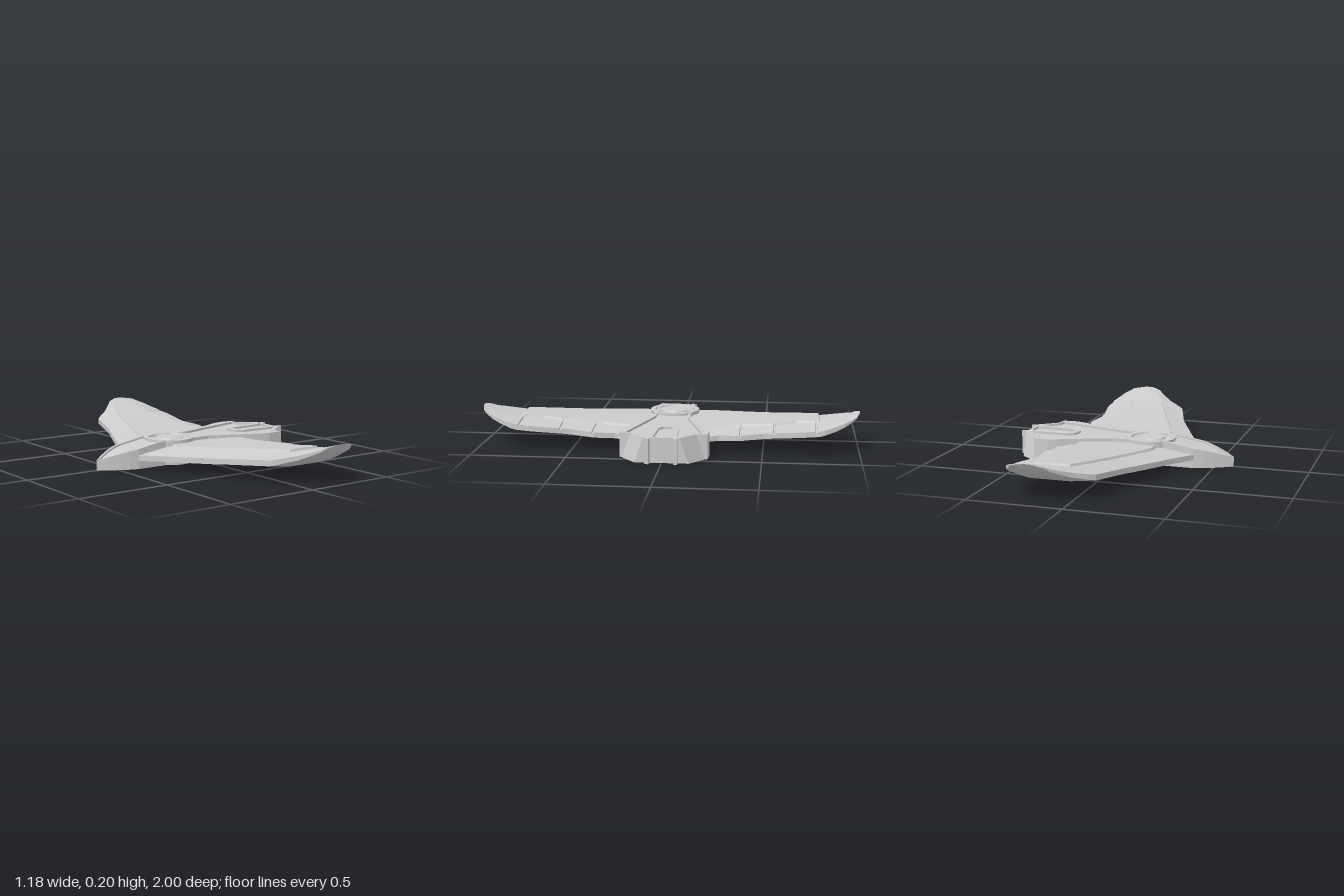
import * as THREE from 'three';

const material = new THREE.MeshStandardMaterial({ color: 0xcccccc, flatShading: true, side: THREE.DoubleSide });

function part(name, geometry) {
  const mesh = new THREE.Mesh(geometry, material);
  mesh.name = name;
  return mesh;
}

// Skin through a row of closed rings, one flat quad per ring edge
function loft(rings, flip) {
  const pos = [];
  for (let s = 0; s < rings.length - 1; s++) {
    const a = rings[s], b = rings[s + 1], n = a.length;
    for (let i = 0; i < n; i++) {
      const j = (i + 1) % n;
      const q = flip ? [a[i], a[j], b[j], b[i]] : [a[i], b[i], b[j], a[j]];
      for (const k of [0, 1, 2, 0, 2, 3]) pos.push(...q[k]);
    }
  }
  const g = new THREE.BufferGeometry();
  g.setAttribute('position', new THREE.Float32BufferAttribute(pos, 3));
  g.computeVertexNormals();
  return g;
}

// Linear lookup in a list of [key, value] pairs
function lookup(table, k) {
  if (k <= table[0][0]) return table[0][1];
  for (let i = 1; i < table.length; i++) {
    const [k0, v0] = table[i - 1], [k1, v1] = table[i];
    if (k <= k1) return v0 + (v1 - v0) * (k - k0) / (k1 - k0);
  }
  return table[table.length - 1][1];
}

// Half outline (x, z) mirrored across the centre line
function mirrored(half) {
  const other = half.filter(p => p[1] > 0).reverse().map(([x, z]) => [x, -z]);
  return [...half, ...other].map(([x, z]) => new THREE.Vector2(x, z));
}

// Flat plate standing between two heights; the tail flanks lean outward towards the bottom
function plate(shape, y0, y1) {
  const g = new THREE.ExtrudeGeometry(shape, { depth: y1 - y0, bevelEnabled: false });
  g.rotateX(Math.PI / 2).translate(0, y1, 0);
  const p = g.attributes.position;
  for (let i = 0; i < p.count; i++) {
    const z = p.getZ(i);
    if (p.getX(i) > 0.462 && Math.abs(z) > 0.086) p.setZ(i, z + Math.sign(z) * (0.13 - p.getY(i)) * 0.35);
  }
  g.computeVertexNormals();
  return g;
}

// Wing rules by span position z
const leading = [[0.05, -0.42], [0.1, -0.4], [0.23, -0.32], [0.56, -0.17], [0.8, -0.095], [0.88, 0], [0.98, 0.1], [1, 0.15]];
const trailing = [[0.22, 0.335], [0.27, 0.32], [0.38, 0.345], [0.5, 0.32], [0.56, 0.325], [0.7, 0.35], [0.82, 0.35],
  [0.92, 0.315], [0.98, 0.27], [1, 0.2]];
const panelFront = [[0.2, -0.2], [0.79, 0.03], [0.9, 0.08], [1, 0.165]];
const panelBack = [[0.18, 0.22], [0.35, 0.2], [0.55, 0.22], [0.67, 0.19], [0.77, 0.215], [0.9, 0.22], [1, 0.185]];
const underside = [[0.1, 0.028], [0.23, 0.033], [0.5, 0.05], [0.8, 0.077], [0.9, 0.118], [0.96, 0.16], [1, 0.2]];
const thickness = [[0.8, 1], [0.9, 0.75], [0.96, 0.4], [1, 0.04]];
const seams = [0.385, 0.56, 0.775];

function wing(side) {
  const stations = [0.05, 0.1, 0.2, 0.23, 0.27, 0.35, 0.45, 0.5, 0.62, 0.67, 0.72, 0.789, 0.794, 0.82, 0.85, 0.88, 0.92, 0.96, 0.98, 1];
  for (const s of seams) stations.push(s - 0.007, s - 0.004, s + 0.004, s + 0.007);
  stations.sort((a, b) => a - b);
  const rings = stations.map(z => {
    const le = lookup(leading, z), te = lookup(trailing, z);
    const pf = lookup(panelFront, z), pb = lookup(panelBack, z);
    const b = lookup(underside, z), t = lookup(thickness, z);
    const lift = z < 0.79 ? 0.012 : 0;
    const groove = seams.some(s => Math.abs(s - z) < 0.005) ? 0.008 : 0;
    const section = [
      [le, 0.016], [le, 0.045],
      [pf, 0.073], [pf + 0.006 * t, 0.073 + lift],
      [pb, 0.073 + lift], [pb + 0.006 * t, 0.073 - groove],
      [te, 0.056 - groove], [te, 0.028],
      [le + (te - le) * 0.75, 0], [le + (te - le) * 0.3, 0],
    ];
    return section.map(([x, h]) => [x, b + h * t, z * side]);
  });
  return loft(rings, side < 0);
}

// Nose with raised side rims, sloping down to a narrow point
function nose() {
  const rows = [[-0.595, 0.004, 0.052], [-0.55, 0.034, 0.068], [-0.5, 0.062, 0.083], [-0.45, 0.085, 0.096],
    [-0.4, 0.1, 0.106], [-0.33, 0.1, 0.118], [-0.26, 0.1, 0.13], [-0.13, 0.1, 0.13]];
  return loft(rows.map(([x, w, top]) => {
    const inner = Math.max(w - 0.016, w * 0.3), floor = top - 0.01;
    const half = [[w, 0], [w, top], [inner, top], [inner, floor]];
    return [...half.map(([z, y]) => [x, y, -z]), ...half.reverse().map(([z, y]) => [x, y, z])];
  }), true);
}

export function createModel() {
  const model = new THREE.Group();
  model.name = 'gliderCraft';

  model.add(part('leftWing', wing(1)), part('rightWing', wing(-1)));
  model.add(part('nose', nose()));

  // Rear hull with a raised rim around its sunken deck
  const outline = mirrored([[-0.14, 0.1], [0.05, 0.1], [0.2, 0.16], [0.33, 0.215], [0.38, 0.23], [0.46, 0.225],
    [0.465, 0.168], [0.56, 0.092], [0.56, 0.082], [0.59, 0.082], [0.59, 0.062], [0.56, 0.058]]);
  model.add(part('rearHull', plate(new THREE.Shape(outline), 0, 0.118)));

  const rim = new THREE.Shape(outline);
  const deck = mirrored([[-0.1, 0.085], [0.05, 0.085], [0.445, 0.195], [0.453, 0.16], [0.54, 0.076], [0.33, 0.068],
    [0.295, 0.05], [0.28, 0.02]]);
  const slot = mirrored([[0.315, 0.015], [0.335, 0.036], [0.545, 0.045]]);
  rim.holes.push(new THREE.Path(deck), new THREE.Path(slot));
  model.add(part('deckRim', plate(rim, 0.118, 0.13)));

  // Round hub with a ring, a groove and a centre cap
  const profile = [[0, 0], [0.135, 0], [0.135, 0.132], [0.11, 0.132], [0.106, 0.122], [0.076, 0.122], [0.07, 0.132], [0, 0.132]]
    .map(([r, y]) => new THREE.Vector2(r, y));
  const hub = part('hub', new THREE.LatheGeometry(profile, 48));
  hub.position.set(-0.137, 0, 0);
  model.add(hub);

  return model;
}
